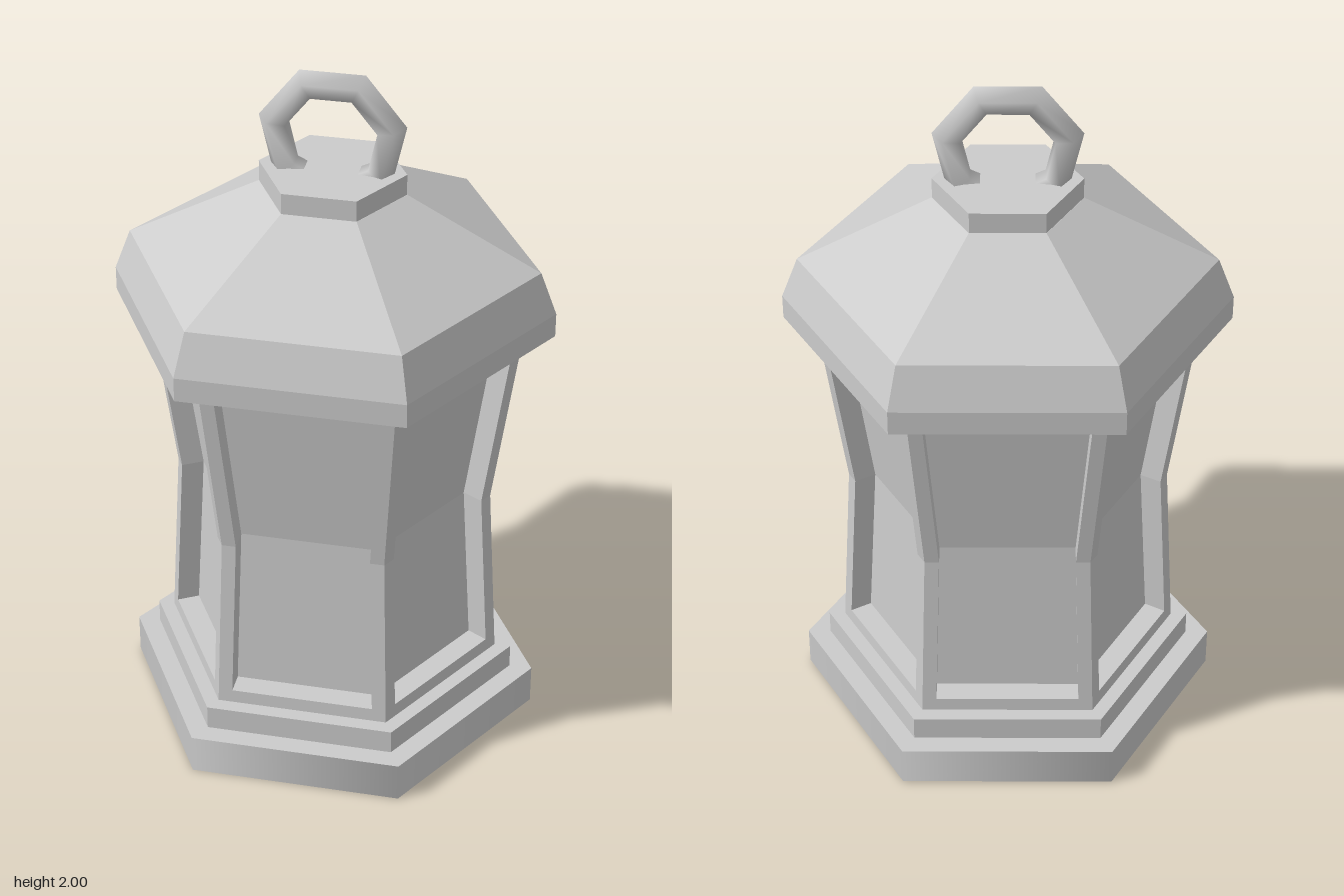
import * as THREE from 'three';

const SIDES = 6;
const APOTHEM = Math.cos(Math.PI / SIDES);
const flat = new THREE.MeshStandardMaterial({ color: 0xcccccc, flatShading: true });
const smooth = new THREE.MeshStandardMaterial({ color: 0xcccccc });

function addMesh(parent, name, geometry, material) {
  const mesh = new THREE.Mesh(geometry, material);
  mesh.name = name;
  parent.add(mesh);
  return mesh;
}

// Hexagonal slab with corners on the x axis
function hexSlab(radius, bottom, top) {
  const g = new THREE.CylinderGeometry(radius, radius, top - bottom, SIDES, 1, false, Math.PI / 2);
  return g.translate(0, (bottom + top) / 2, 0);
}

// One waisted wall facing +z: a frame around a recessed pane
function wallGeometry() {
  const rows = [[0.19, 0.49], [0.72, 0.46], [1.27, 0.537]];
  const margin = 0.04, depth = 0.065;
  const radiusAt = (y) => {
    const i = y < rows[1][0] ? 0 : 1;
    const [y0, r0] = rows[i], [y1, r1] = rows[i + 1];
    return r0 + (r1 - r0) * (y - y0) / (y1 - y0);
  };
  // A ring of six points, counter-clockwise from bottom left
  const outline = (ys, inset, back) => {
    const point = (side, y) => {
      const r = radiusAt(y);
      return [side * (r / 2 - inset), y, r * APOTHEM - back];
    };
    const [a, b, c] = ys;
    return [point(-1, a), point(1, a), point(1, b), point(1, c), point(-1, c), point(-1, b)];
  };
  const outer = outline([0.19, 0.72, 1.27], 0, 0);
  const inner = outline([0.23, 0.72, 1.23], margin, 0);
  const pane = outline([0.23, 0.72, 1.23], margin, depth);

  const positions = [];
  const quad = (a, b, c, d) => positions.push(...a, ...b, ...c, ...a, ...c, ...d);
  for (let i = 0; i < 6; i++) {
    const j = (i + 1) % 6;
    quad(outer[i], outer[j], inner[j], inner[i]);
    quad(inner[i], inner[j], pane[j], pane[i]);
  }
  quad(pane[0], pane[1], pane[2], pane[5]);
  quad(pane[5], pane[2], pane[3], pane[4]);

  const g = new THREE.BufferGeometry();
  g.setAttribute('position', new THREE.Float32BufferAttribute(positions, 3));
  g.computeVertexNormals();
  return g;
}

export function createModel() {
  const lantern = new THREE.Group();
  lantern.name = 'lantern';

  // Foot and step
  addMesh(lantern, 'base', hexSlab(0.603, 0, 0.118), smooth);
  addMesh(lantern, 'baseStep', hexSlab(0.537, 0.118, 0.19), flat);

  // Six framed walls
  const body = new THREE.Group();
  body.name = 'body';
  lantern.add(body);
  const wall = wallGeometry();
  for (let i = 0; i < SIDES; i++) {
    addMesh(body, 'wallPanel', wall, flat).rotation.y = i * Math.PI / 3;
  }

  // Roof with closed underside, vertical lip and two slopes
  const profile = [[0, 1.27], [0.622, 1.27], [0.622, 1.34], [0.576, 1.462], [0.205, 1.66], [0, 1.66]];
  const roof = new THREE.LatheGeometry(
    profile.map(([x, y]) => new THREE.Vector2(x, y)), SIDES, Math.PI / 2);
  addMesh(lantern, 'roof', roof, flat);
  addMesh(lantern, 'roofCap', hexSlab(0.204, 1.655, 1.72), flat);

  // Seven-sided carrying ring, sunk into the cap
  const ring = new THREE.TorusGeometry(0.164, 0.043, 5, 7);
  ring.rotateZ(-Math.PI / 2).translate(0, 1.8135, 0);
  addMesh(lantern, 'handleRing', ring, smooth);

  return lantern;
}
